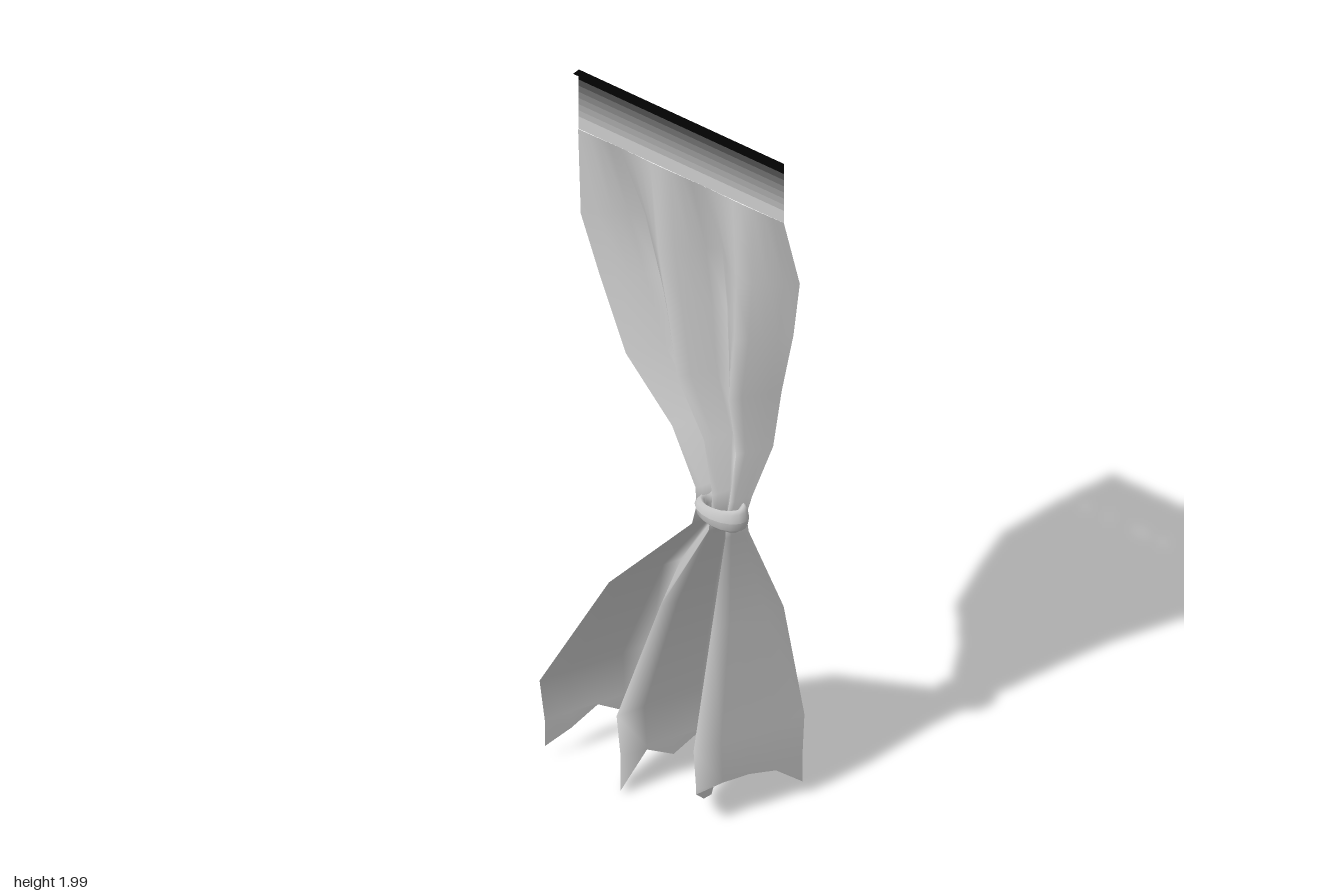
import * as THREE from 'three';

const COLS = 20;
const PLEATS = 5;

// Height, front edge z, back edge z, middle x and pleat depth of each row of cloth
const ROWS = [
  [1.82, 0.32, -0.32, 0.036, 0.001],
  [1.58, 0.305, -0.3, 0.07, 0.05],
  [1.42, 0.29, -0.23, 0.062, 0.052],
  [1.24, 0.26, -0.14, 0.05, 0.055],
  [1.08, 0.25, 0.0, 0.042, 0.042],
  [0.96, 0.235, 0.105, -0.01, 0.03],
  [0.91, 0.23, 0.115, -0.025, 0.027],
  [0.86, 0.235, 0.105, -0.025, 0.03],
  [0.58, 0.26, -0.14, 0.02, 0.093],
  [0.25, 0.3, -0.3, 0, 0.145],
  [0.13, 0.3, -0.29, 0, 0.137],
];

// Ragged hem heights, from the back edge to the front edge
const HEM = [0.05, 0.08, 0.125, 0.08, 0.05, 0.1, 0.125, 0.01, 0.02, 0.12, 0.08,
  0.125, 0.07, 0.04, 0.01, 0.05, 0.115, 0.125, 0.125, 0.11, 0.05];

// Triangle wave: -1 at the back edge, +1 at the front edge
function pleat(u) {
  const t = u * PLEATS;
  const k = Math.min(Math.floor(t), PLEATS - 1);
  const s = (t - k) * 2 - 1;
  return k % 2 ? -s : s;
}

function sheet(rows, cols, point) {
  const pos = [], index = [];
  for (let r = 0; r < rows; r++) {
    for (let c = 0; c <= cols; c++) {
      pos.push(...point(r, c));
      if (r && c) {
        const d = r * (cols + 1) + c, b = d - cols - 1;
        index.push(b - 1, d - 1, d, b - 1, d, b);
      }
    }
  }
  const g = new THREE.BufferGeometry();
  g.setAttribute('position', new THREE.Float32BufferAttribute(pos, 3));
  g.setIndex(index);
  g.computeVertexNormals();
  return g;
}

function cloth(color) {
  return new THREE.MeshStandardMaterial({ color, side: THREE.DoubleSide });
}

function add(group, name, geometry, material) {
  const mesh = new THREE.Mesh(geometry, material);
  mesh.name = name;
  group.add(mesh);
  return mesh;
}

export function createModel() {
  const curtain = new THREE.Group();
  curtain.name = 'tiedCurtain';

  // Pleated cloth, gathered at the waist, ending in the torn hem
  const drape = sheet(ROWS.length + 1, COLS, (r, c) => {
    const [y, front, back, mid, depth] = ROWS[Math.min(r, ROWS.length - 1)];
    const u = c / COLS;
    const z = THREE.MathUtils.lerp(back, front, u);
    const height = r < ROWS.length ? y : HEM[c];
    return [mid + depth * pleat(u), height, z];
  });
  add(curtain, 'drape', drape, cloth(0xcccccc));

  // Flat heading that darkens towards the top
  const heading = new THREE.Group();
  heading.name = 'heading';
  curtain.add(heading);
  const BANDS = 8, low = 1.82, high = 1.97;
  const bandHeight = (high - low) / BANDS;
  const grey = new THREE.Color(0xcccccc), black = new THREE.Color(0x020202);
  for (let i = 0; i <= BANDS; i++) {
    const y0 = low + i * bandHeight;
    const y1 = i < BANDS ? y0 + bandHeight : 2;
    const band = sheet(2, 1, (r, c) => [0.037, r ? y0 : y1, c ? 0.32 : -0.32]);
    add(heading, 'headingBand', band, cloth(grey.clone().lerp(black, i / BANDS)));
  }

  // Narrow fold turned over along the top edge
  const fold = sheet(2, 1, (r, c) => [r ? 0.038 : 0.015, 2, c ? 0.32 : -0.32]);
  add(curtain, 'topFold', fold, cloth(black));

  // Tie wrapped round the waist, thicker towards the front edge
  const ring = new THREE.TorusGeometry(0.064, 0.016, 8, 16);
  ring.rotateX(Math.PI / 2);
  const p = ring.attributes.position;
  for (let i = 0; i < p.count; i++) {
    const z = p.getZ(i);
    p.setXYZ(i, p.getX(i) * 0.6, p.getY(i) * (1.8 + z * 5), z * 0.96);
  }
  ring.computeVertexNormals();
  const tie = add(curtain, 'tie', ring, new THREE.MeshStandardMaterial({ color: 0xcccccc }));
  tie.position.set(-0.025, 0.915, 0.175);

  return curtain;
}
